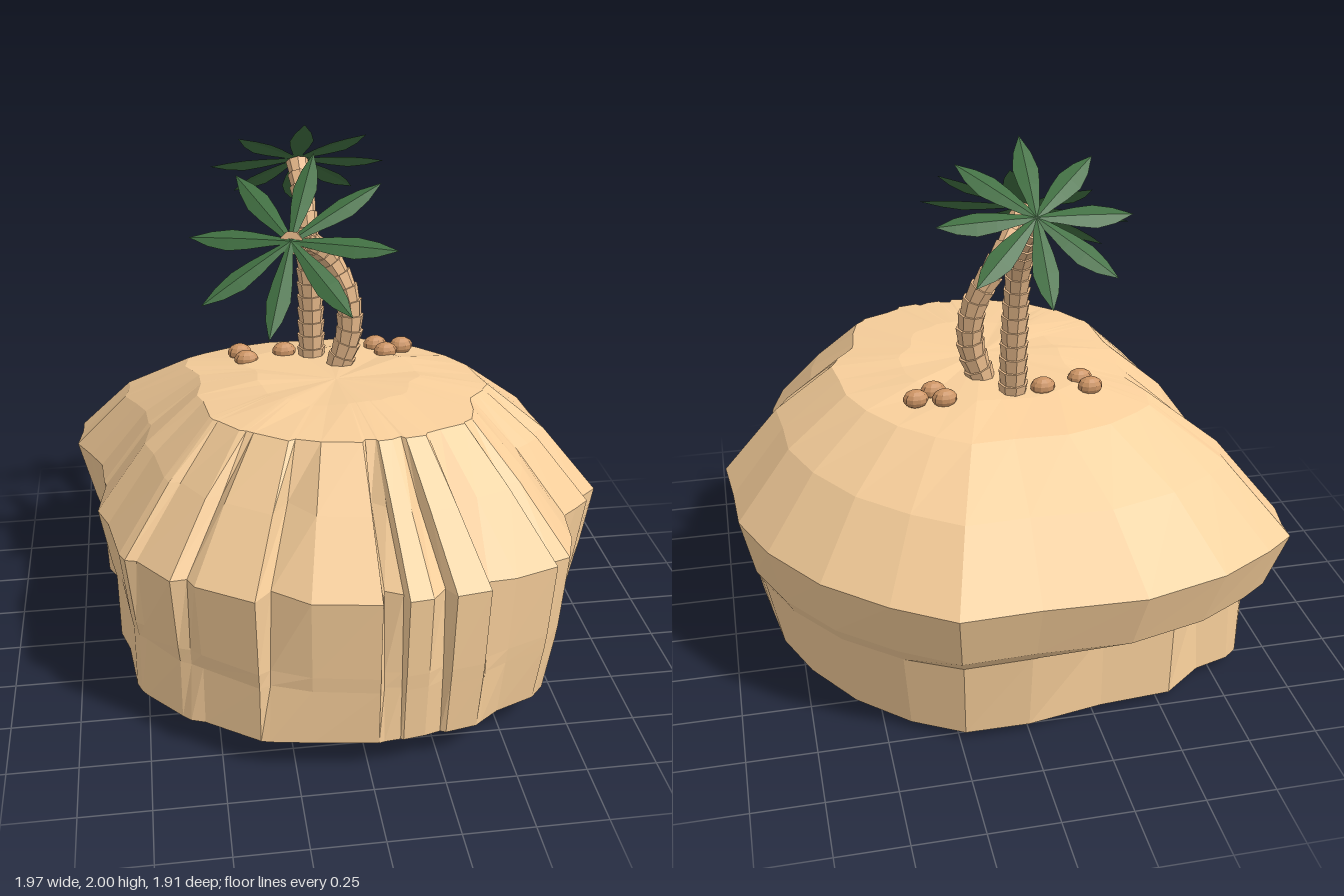
import * as THREE from 'three';
import { mergeGeometries } from 'three/addons/utils/BufferGeometryUtils.js';

const mat = (color, side = THREE.FrontSide) =>
  new THREE.MeshStandardMaterial({ color, flatShading: true, side });
const SAND = mat(0xf8cf9b), BARK = mat(0xe9bb8c), NUT = mat(0xcc9464);
const LEAF = mat(0x417042, THREE.DoubleSide);

function addMesh(parent, name, geometry, material) {
  const mesh = new THREE.Mesh(geometry, material);
  mesh.name = name;
  parent.add(mesh);
  return mesh;
}

// Widest outline of the rock as x, z, crevice depth; front, +x, back, -x
const OUTLINE = [
  0.03, 0.95, 0, 0.05, 0.945, 0.9, 0.11, 0.94, 0.5, 0.12, 0.945, 0, 0.2, 0.935, 0,
  0.26, 0.92, 0.5, 0.28, 0.93, 0, 0.4, 0.91, 0, 0.42, 0.895, 0.5, 0.5, 0.84, 0,
  0.66, 0.78, 0, 0.67, 0.77, 0.3, 0.72, 0.72, 0, 0.77, 0.58, 0, 0.79, 0.45, 0,
  0.81, 0.4, 0.15, 0.86, 0.34, 0, 0.92, 0.28, 0, 0.94, 0.26, 0.4, 0.98, 0.18, 0,
  0.96, 0, 0, 0.95, -0.2, 0, 0.86, -0.42, 0, 0.7, -0.65, 0, 0.49, -0.83, 0,
  0.28, -0.96, 0, 0, -0.95, 0, -0.36, -0.96, 0, -0.66, -0.88, 0, -0.86, -0.77, 0,
  -0.97, -0.69, 0, -0.98, -0.62, 0.1, -0.99, -0.5, 0, -0.94, -0.4, 0.05, -0.89, -0.3, 0,
  -0.88, -0.16, 0, -0.88, -0.13, 0.1, -0.9, 0.08, 0, -0.86, 0.2, 0, -0.82, 0.45, 0,
  -0.8, 0.5, 0, -0.78, 0.53, 0.3, -0.65, 0.68, 0, -0.62, 0.71, 0.5, -0.57, 0.73, 0,
  -0.38, 0.87, 0, -0.35, 0.88, 0.9, -0.2, 0.91, 0,
];

// Cross-sections from the underside up to the plateau
const LEVELS = [
  { scale: () => 0.46, y: (z) => 0.018 + 0.02 * z, cut: 0, wobble: 0.006 },
  { scale: (z, x) => 0.91 + 0.06 * z - 0.03 * x, y: (z) => Math.max(0.025, 0.07 + 0.055 * z), cut: 0, under: 0.7 },
  { scale: (z) => 0.94 + 0.04 * z, y: () => 0.34, cut: 0.03, under: 1 },
  { scale: (z) => 0.955 + 0.03 * z, y: () => 0.4, cut: 0.04 },
  { scale: () => 1, y: (z) => 0.625 + 0.085 * Math.max(0, z), cut: 0.09 },
  { scale: () => 0.79, y: (z) => 0.89 + 0.03 * z, cut: 0.11 },
  { scale: (z) => 0.565 + 0.035 * z, y: (z) => 1.065 + 0.04 * z, cut: 0.02 },
  { scale: () => 0.32, y: (z) => 1.1 + 0.02 * z, cut: 0, wobble: 0.006 },
];

// How far the broken lower wall steps in: deep at the back -x corner, shallow elsewhere
function undercut(x, z, i) {
  if (z < -0.65 && x < -0.3) return i % 2 ? 0.13 : 0.08;
  if (z < -0.55 && x < 0.4) return 0.03;
  return x > 0.4 && z < -0.15 ? 0.015 : 0;
}

function rockGeometry() {
  const n = OUTLINE.length / 3, pos = [], index = [];
  for (const level of LEVELS) {
    for (let i = 0; i < n; i++) {
      const [x, z, d] = OUTLINE.slice(i * 3, i * 3 + 3);
      const s = level.scale(z, x) - d * level.cut - undercut(x, z, i) * (level.under || 0);
      const wobble = (level.wobble || 0) * Math.sin(5 * x + 7 * z);
      pos.push(x * s, level.y(z) + wobble, z * s);
    }
  }
  for (let l = 0; l < LEVELS.length - 1; l++) {
    for (let i = 0; i < n; i++) {
      const a = l * n + i, b = l * n + ((i + 1) % n);
      index.push(a, b, b + n, a, b + n, a + n);
    }
  }
  // close the underside and the plateau
  const bottom = pos.length / 3, top = bottom + 1, last = (LEVELS.length - 1) * n;
  pos.push(0, 0, 0, 0, 1.105, 0.05);
  for (let i = 0; i < n; i++) {
    const j = (i + 1) % n;
    index.push(bottom, j, i, top, last + i, last + j);
  }
  const geometry = new THREE.BufferGeometry();
  geometry.setAttribute('position', new THREE.Float32BufferAttribute(pos, 3));
  geometry.setIndex(index);
  const flat = geometry.toNonIndexed();
  flat.computeVertexNormals();
  return flat;
}

// Trunk of stacked flared segments along a curve
function trunkGeometry(points, count) {
  const curve = new THREE.CatmullRomCurve3(points.map((p) => new THREE.Vector3(...p)));
  const pts = curve.getSpacedPoints(count), up = new THREE.Vector3(0, 1, 0), parts = [];
  for (let i = 0; i < count; i++) {
    const dir = pts[i + 1].clone().sub(pts[i]);
    const r = THREE.MathUtils.lerp(0.05, 0.038, i / count);
    const segment = new THREE.CylinderGeometry(r * 1.1, r * 0.92, dir.length() * 1.12, 8);
    const middle = pts[i].clone().add(pts[i + 1]).multiplyScalar(0.5);
    segment.applyQuaternion(new THREE.Quaternion().setFromUnitVectors(up, dir.normalize()));
    parts.push(segment.translate(middle.x, middle.y, middle.z));
  }
  return mergeGeometries(parts);
}

// Pointed leaf along +x with a raised midrib
function leafGeometry(length) {
  const widths = [0.01, 0.022, 0.036, 0.044, 0.03, 0];
  const leaf = new THREE.PlaneGeometry(1, 2, 5, 2).rotateX(-Math.PI / 2);
  const p = leaf.attributes.position;
  for (let i = 0; i < p.count; i++) {
    const t = p.getX(i) + 0.5, side = p.getZ(i);
    const w = widths[Math.round(t * 5)];
    p.setXYZ(i, t * length, 0.012 - Math.abs(side) * w * 0.3 - 0.02 * t * t, side * w);
  }
  leaf.computeVertexNormals();
  return leaf;
}

function palm(name, path, segments, normal, leafLength, turn) {
  const tree = new THREE.Group();
  tree.name = name;
  addMesh(tree, 'trunk', trunkGeometry(path, segments), BARK);
  const crown = new THREE.Group();
  crown.name = 'crown';
  crown.position.set(...path[path.length - 1]);
  crown.quaternion.setFromUnitVectors(
    new THREE.Vector3(0, 1, 0), new THREE.Vector3(...normal).normalize());
  const leaf = leafGeometry(leafLength);
  for (let i = 0; i < 8; i++) {
    addMesh(crown, 'leaf', leaf, LEAF).rotation.y = -(turn + (i * Math.PI) / 4);
  }
  tree.add(crown);
  return tree;
}

export function createModel() {
  const model = new THREE.Group();
  model.name = 'palmRock';
  addMesh(model, 'rock', rockGeometry(), SAND);

  model.add(palm('frontPalm',
    [[0.03, 1.07, -0.12], [0.075, 1.22, -0.12], [0.065, 1.37, -0.13], [0, 1.5, -0.14],
      [-0.09, 1.6, -0.07], [-0.16, 1.645, 0.075]],
    14, [-0.25, 0.7, 0.53], 0.385, 0.4));
  model.add(palm('backPalm',
    [[-0.055, 1.06, -0.24], [-0.055, 1.25, -0.25], [-0.06, 1.45, -0.26], [-0.065, 1.61, -0.3],
      [-0.08, 1.79, -0.44]],
    15, [0, 0.77, -0.64], 0.33, 0));

  // Nuts scattered around the trunks
  const nut = new THREE.SphereGeometry(1, 10, 7);
  for (const [x, z] of [[-0.33, -0.28], [-0.31, -0.21], [-0.16, -0.26], [0.2, -0.28], [0.23, -0.21], [0.3, -0.26]]) {
    const mesh = addMesh(model, 'nut', nut, NUT);
    mesh.scale.set(0.046, 0.034, 0.034);
    mesh.position.set(x, 1.1 - Math.abs(x) * 0.03, z);
  }
  return model;
}
